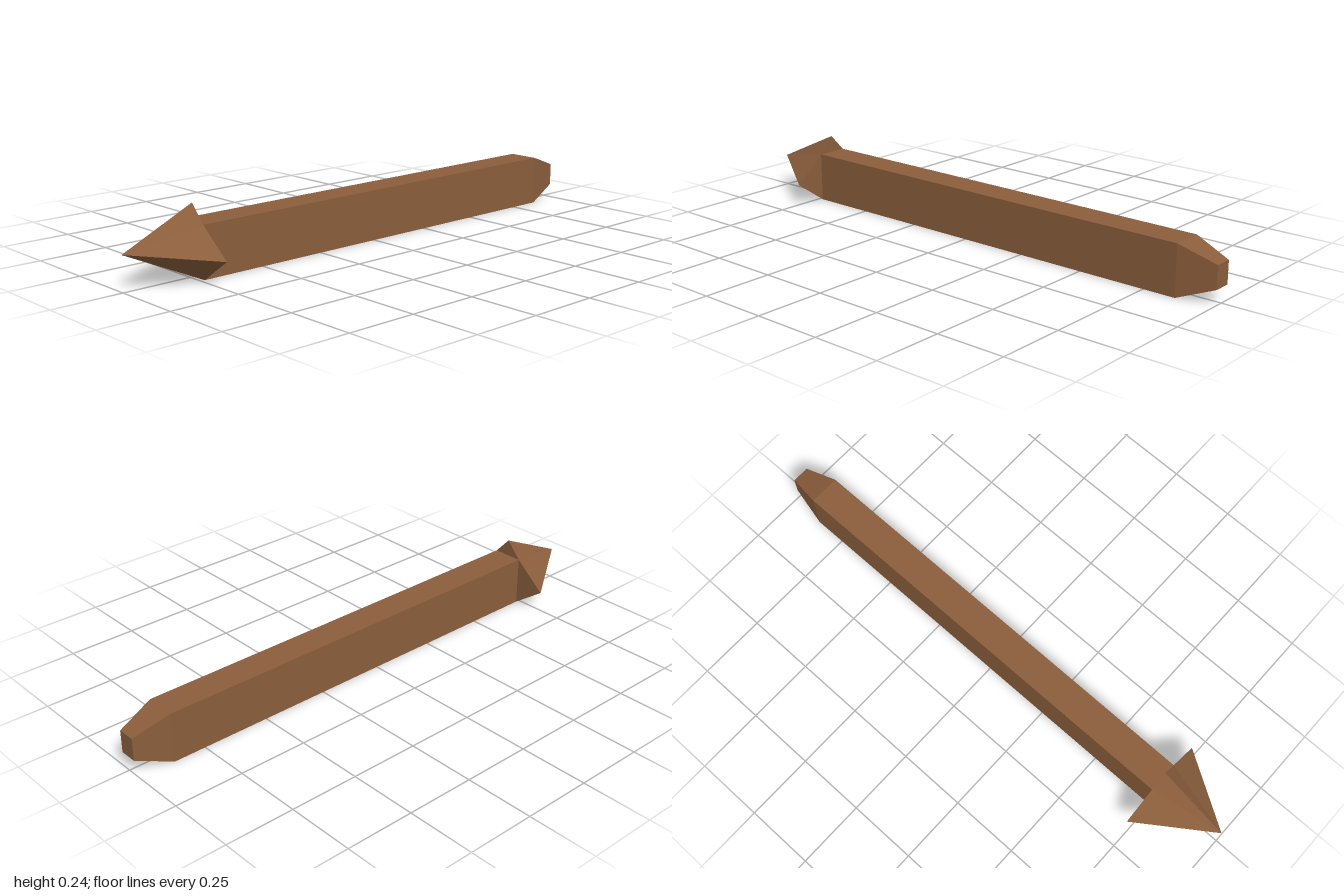
import * as THREE from 'three';

// Closed faceted solid: cross-sections (counter-clockwise from +z) listed front to back,
// with a fan to a centre point at each end.
function loft(rings, frontCentre, backCentre) {
  const pos = [];
  const tri = (a, b, c) => pos.push(...a, ...b, ...c);
  const n = rings[0].length;
  const last = rings[rings.length - 1];
  for (let i = 0; i < n; i++) {
    const j = (i + 1) % n;
    tri(frontCentre, rings[0][i], rings[0][j]);
    tri(backCentre, last[j], last[i]);
    for (let r = 0; r < rings.length - 1; r++) {
      const a = rings[r], b = rings[r + 1];
      tri(a[i], b[i], b[j]);
      tri(a[i], b[j], a[j]);
    }
  }
  const geo = new THREE.BufferGeometry();
  geo.setAttribute('position', new THREE.Float32BufferAttribute(pos, 3));
  geo.computeVertexNormals();
  return geo;
}

// Rectangular cross-section
const rect = (hw, y0, y1, z) => [[hw, y0, z], [hw, y1, z], [-hw, y1, z], [-hw, y0, z]];

export function createModel() {
  const group = new THREE.Group();
  group.name = 'woodenStake';
  const wood = new THREE.MeshStandardMaterial({ color: 0x8b5e3c, flatShading: true });
  wood.name = 'brownWood';

  const neckZ = 0.735;

  // Square shaft with a tapered rear end
  const shaft = new THREE.Mesh(loft([
    rect(0.057, 0, 0.18, neckZ),
    rect(0.057, 0, 0.18, -0.868),
    rect(0.032, 0.052, 0.133, -1),
  ], [0, 0.09, neckZ], [0, 0.092, -1]), wood);
  shaft.name = 'shaft';

  // Pointed head: mirrored outline drawn to a tip, with a flat back
  const half = [[0.057, 0], [0.175, 0.083], [0.057, 0.18]];
  const outline = [
    ...half,
    [0, 0.242],
    ...half.map(([x, y]) => [-x, y]).reverse(),
  ].map(([x, y]) => [x, y, neckZ]);
  const head = new THREE.Mesh(loft([outline], [0, 0.12, 1], [0, 0.1, neckZ]), wood);
  head.name = 'arrowHead';

  group.add(shaft, head);
  return group;
}
